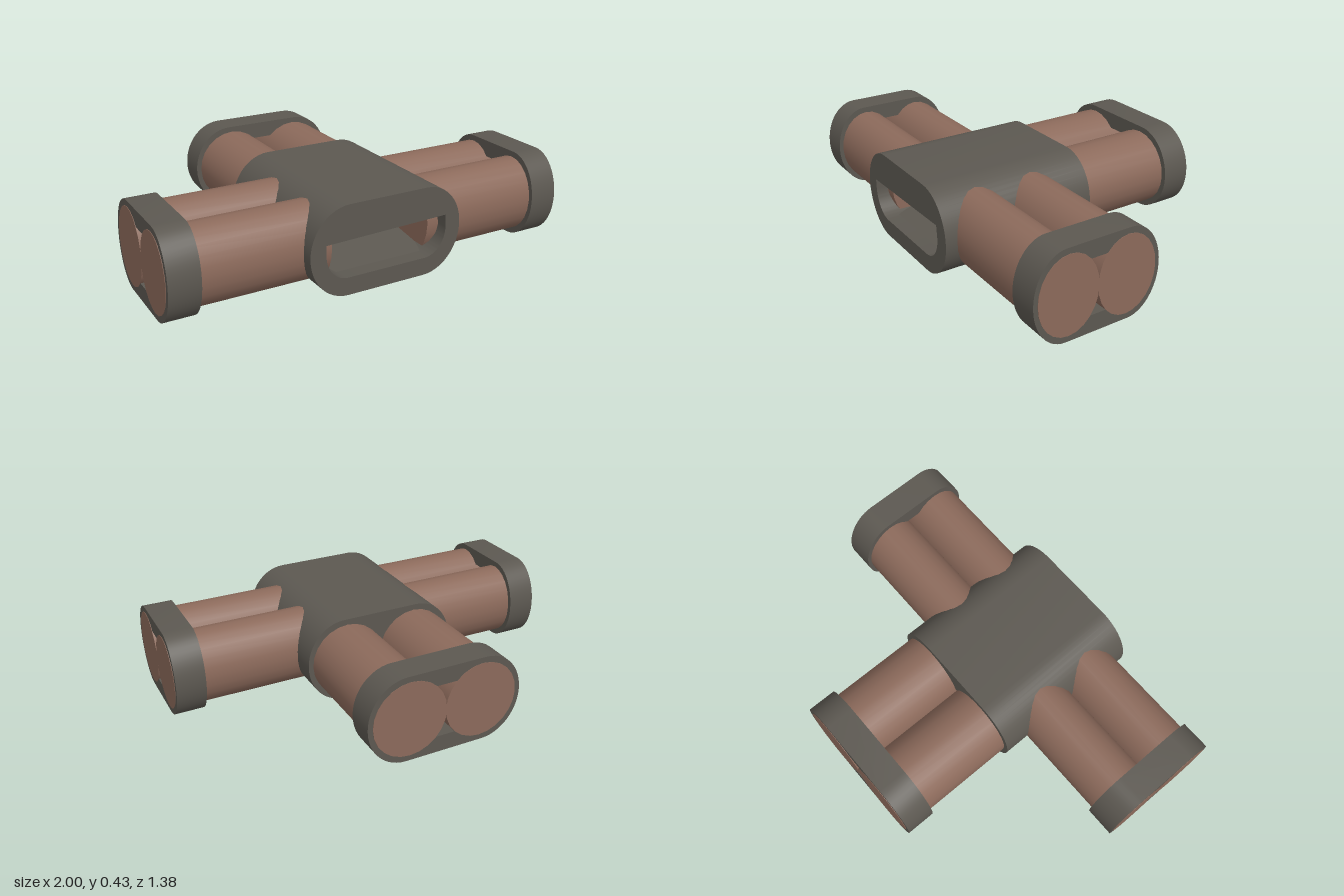
import * as THREE from 'three';
import { toCreasedNormals } from 'three/addons/utils/BufferGeometryUtils.js';

const brown = new THREE.MeshStandardMaterial({ name: 'brown pipe', color: 0x8c6a5b });
const grey = new THREE.MeshStandardMaterial({ name: 'dark grey fitting', color: 0x5c5851 });
const MID_Y = 0.2135;

function mesh(name, geometry, material) {
  const m = new THREE.Mesh(geometry, material);
  m.name = name;
  return m;
}

// Rounded outline with elliptical ends: half width, half height, end radius
function stadium(hw, hh, rx, Type = THREE.Shape) {
  const s = new Type();
  s.moveTo(hw - rx, -hh);
  s.absellipse(hw - rx, 0, rx, hh, -Math.PI / 2, Math.PI / 2, false);
  s.absellipse(-hw + rx, 0, rx, hh, Math.PI / 2, Math.PI * 1.5, false);
  s.closePath();
  return s;
}

function extrude(shape, z0, z1) {
  const g = new THREE.ExtrudeGeometry(shape, { depth: z1 - z0, bevelEnabled: false, curveSegments: 12 });
  g.translate(0, 0, z0);
  return toCreasedNormals(g, Math.PI / 5);
}

// Twin pipes with an end collar, pointing along local +z
function arm(name, { start, end, pipeX, pipeR, collarHW, collarR, holeHW, holeR }) {
  const group = new THREE.Group();
  group.name = name;
  for (const side of [-1, 1]) {
    const g = new THREE.CylinderGeometry(1, 1, 1, 24);
    g.scale(pipeR, end - start, 0.185);
    g.rotateX(Math.PI / 2);
    g.translate(side * pipeX, 0, (start + end) / 2);
    group.add(mesh('pipe', g, brown));
  }
  const ring = stadium(collarHW, 0.2115, collarR);
  ring.holes.push(stadium(holeHW, 0.13, holeR, THREE.Path));
  group.add(mesh('endCollar', extrude(ring, end - 0.145, end - 0.002), grey));
  return group;
}

export function createModel() {
  const model = new THREE.Group();
  model.name = 'pipeTee';

  // Central body with a front slot
  const body = stadium(0.387, 0.2125, 0.19);
  const slot = new THREE.Path();
  slot.moveTo(-0.31, 0.046);
  slot.lineTo(-0.31, 0);
  slot.absellipse(-0.2, 0, 0.11, 0.128, Math.PI, Math.PI * 1.5, false);
  slot.absellipse(0.2, 0, 0.11, 0.128, Math.PI * 1.5, Math.PI * 2, false);
  slot.lineTo(0.305, 0.062);
  slot.closePath();
  body.holes.push(slot);
  const bodyMesh = mesh('centralBody', extrude(body, -0.08, 0.69), grey);
  bodyMesh.position.y = MID_Y;
  model.add(bodyMesh);

  // Sloping floor inside the slot
  const floor = new THREE.PlaneGeometry(0.5, 0.59);
  floor.rotateX(-Math.PI / 2 + 0.14);
  const floorMesh = mesh('slotFloor', floor, grey);
  floorMesh.position.set(0, 0.129, 0.33);
  model.add(floorMesh);

  // Side arms
  for (const side of [-1, 1]) {
    const a = arm(side > 0 ? 'leftArm' : 'rightArm', {
      start: 0.25, end: 1, pipeX: 0.144, pipeR: 0.147,
      collarHW: 0.311, collarR: 0.155, holeHW: 0.24, holeR: 0.1,
    });
    a.rotation.y = side * Math.PI / 2;
    a.position.set(0, MID_Y, 0.343);
    model.add(a);
  }

  // Rear arm
  const rear = arm('rearArm', {
    start: -0.03, end: 0.695, pipeX: 0.18, pipeR: 0.183,
    collarHW: 0.387, collarR: 0.19, holeHW: 0.3, holeR: 0.12,
  });
  rear.rotation.y = Math.PI;
  rear.position.y = MID_Y;
  model.add(rear);

  return model;
}
